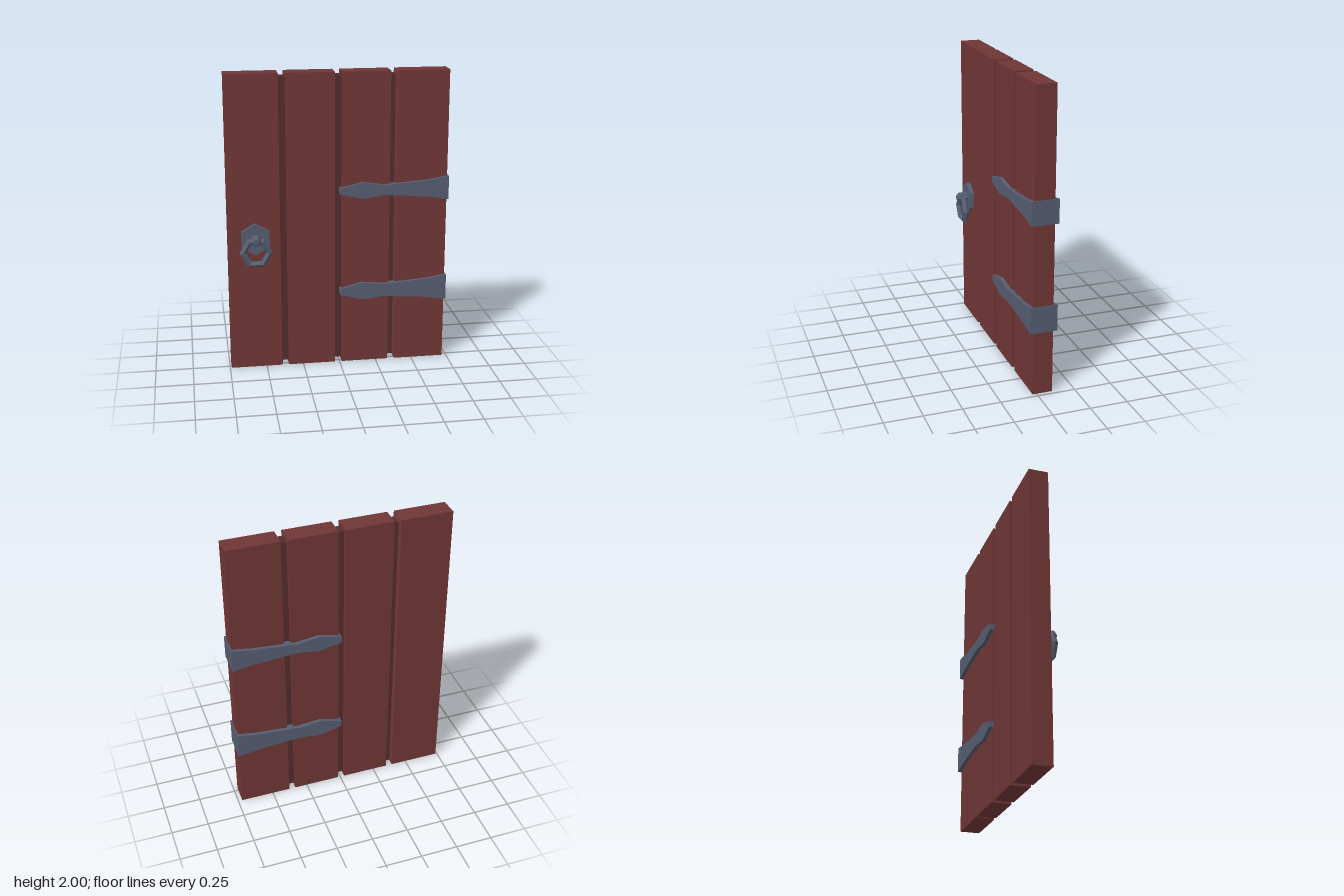
import * as THREE from 'three';

const wood = new THREE.MeshStandardMaterial({ color: 0x703636, flatShading: true });
const darkWood = new THREE.MeshStandardMaterial({ color: 0x522c2c, flatShading: true });
const iron = new THREE.MeshStandardMaterial({ color: 0x555d70, flatShading: true });

const BACK = -0.105, FRONT = 0.027;
const MID = (BACK + FRONT) / 2, DEPTH = FRONT - BACK;
const CORE_H = 1.95, CORE_D = 0.08;

function add(parent, name, geometry, material, x = 0, y = 0, z = 0) {
  const mesh = new THREE.Mesh(geometry, material);
  mesh.name = name;
  mesh.position.set(x, y, z);
  parent.add(mesh);
  return mesh;
}

// Box whose face on one side (dir = +1 or -1 in x) shrinks to the core size
function bevelBox(width, dir) {
  const geo = new THREE.BoxGeometry(width, 2, DEPTH);
  const p = geo.attributes.position;
  for (let i = 0; i < p.count; i++) {
    if (p.getX(i) * dir > 0) {
      p.setY(i, Math.sign(p.getY(i)) * CORE_H / 2);
      p.setZ(i, Math.sign(p.getZ(i)) * CORE_D / 2);
    }
  }
  return geo;
}

// Six-sided prism lying along z, with a corner up or a flat side up
function hexPrism(frontRadius, backRadius, length, flatUp) {
  const geo = new THREE.CylinderGeometry(frontRadius, backRadius, length, 6);
  if (flatUp) geo.rotateY(Math.PI / 6);
  return geo.rotateX(Math.PI / 2);
}

// Flared iron strap that wraps both faces of the door
function strapGeometry(halfHeights) {
  const xs = [0, 0.15, 0.3, 0.59, 0.73];
  const upper = xs.map((x, i) => new THREE.Vector2(x, halfHeights[i]));
  const lower = xs.map((x, i) => new THREE.Vector2(x, -halfHeights[i])).reverse();
  const shape = new THREE.Shape([...lower, ...upper]);
  return new THREE.ExtrudeGeometry(shape, { depth: 0.18, bevelEnabled: false });
}

export function createModel() {
  const door = new THREE.Group();
  door.name = 'plankDoor';

  // Upright planks
  const planks = [[-0.74, -0.395], [-0.35, -0.03], [0.015, 0.335], [0.38, 0.722]];
  planks.forEach(([a, b], i) => {
    add(door, `plank${i + 1}`, new THREE.BoxGeometry(b - a, 2, DEPTH), wood, (a + b) / 2, 1, MID);
  });

  // Sloped inner edges on the two outer planks
  add(door, 'leftmostPlankBevel', bevelBox(0.009, 1), wood, -0.3905, 1, MID);
  add(door, 'rightmostPlankBevel', bevelBox(0.01, -1), wood, 0.375, 1, MID);

  // Recessed strips joining neighbouring planks
  for (let i = 0; i < 3; i++) {
    const a = planks[i][1], b = planks[i + 1][0];
    add(door, `joint${i + 1}`, new THREE.BoxGeometry(b - a, CORE_H, CORE_D), darkWood, (a + b) / 2, 1, MID);
  }

  // Hinge straps
  add(door, 'upperHinge', strapGeometry([0.02, 0.055, 0.034, 0.056, 0.079]), iron, 0, 1.216, -0.13);
  add(door, 'lowerHinge', strapGeometry([0.02, 0.06, 0.044, 0.066, 0.088]), iron, 0, 0.515, -0.13);

  // Ring handle: back plate, peg with tapered tip, hanging ring
  const handle = new THREE.Group();
  handle.name = 'handle';
  handle.position.set(-0.56, 0, 0);
  door.add(handle);
  add(handle, 'backPlate', hexPrism(0.107, 0.107, 0.036, false), iron, 0, 0.913, 0.037);
  add(handle, 'peg', hexPrism(0.035, 0.035, 0.06, true), iron, 0, 0.917, 0.078);
  add(handle, 'pegTip', hexPrism(0.02, 0.035, 0.018, true), iron, 0, 0.917, 0.117);
  add(handle, 'ring', new THREE.TorusGeometry(0.088, 0.023, 4, 6), iron, 0, 0.832, 0.083);

  return door;
}
